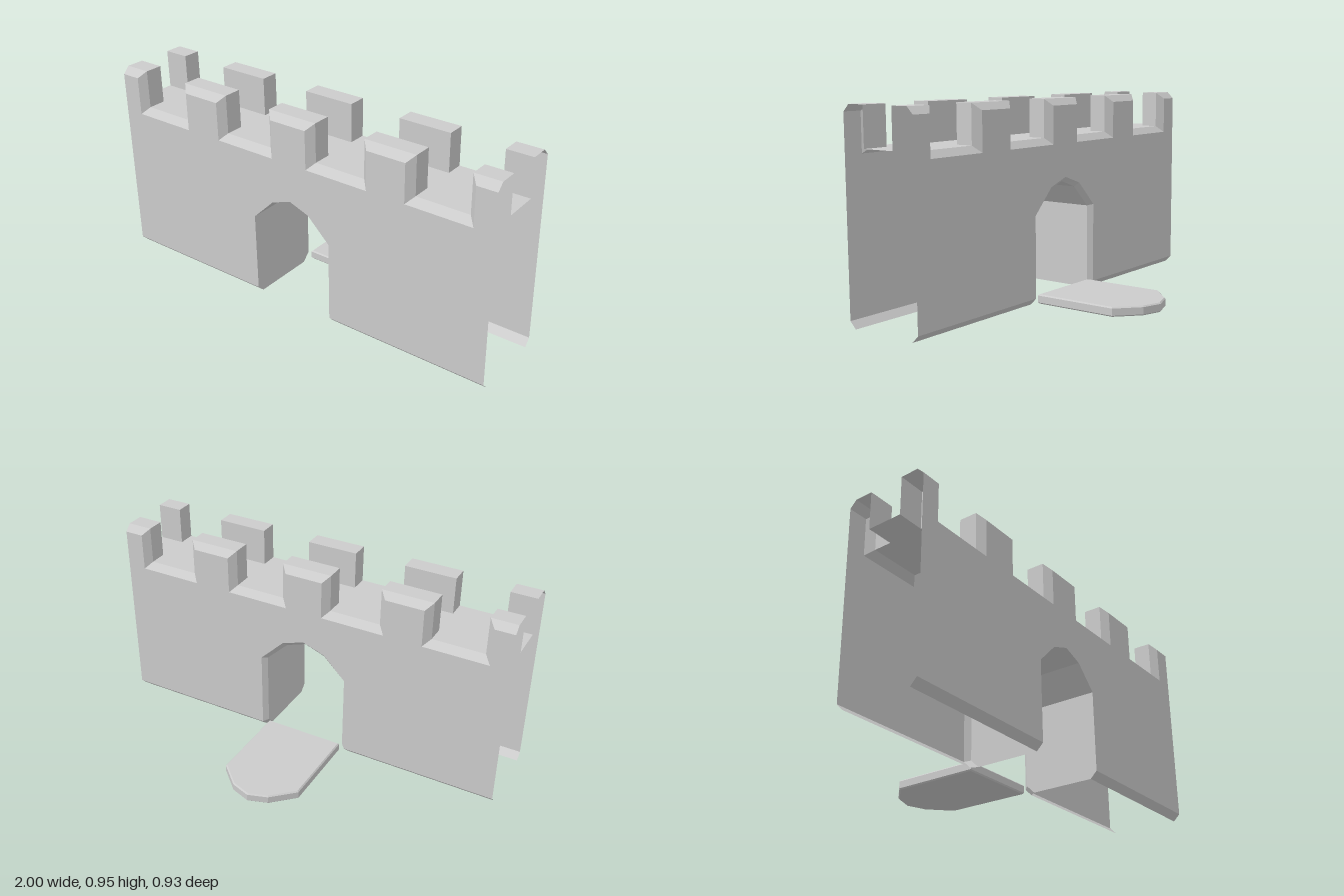
import * as THREE from 'three';

const material = new THREE.MeshStandardMaterial({ color: 0xcccccc, flatShading: true, side: THREE.DoubleSide });
const FRONT = 0.467, BEVEL = 0.032, MERLON_DEPTH = 0.117;
const back = (z) => 0.534 - z; // mirrors a depth to the rear wall

function add(group, name, geometry) {
  const mesh = new THREE.Mesh(geometry, material);
  mesh.name = name;
  group.add(mesh);
  return mesh;
}

// Strip of quads between two matching lines of [x, y, z] points
function ribbon(a, b) {
  const pos = [];
  for (let i = 0; i < a.length - 1; i++) {
    pos.push(...a[i], ...a[i + 1], ...b[i + 1], ...a[i], ...b[i + 1], ...b[i]);
  }
  const geo = new THREE.BufferGeometry();
  geo.setAttribute('position', new THREE.Float32BufferAttribute(pos, 3));
  geo.computeVertexNormals();
  return geo;
}

const atDepth = (points, z) => points.map(([x, y]) => [x, y, z]);

// Battlement outline from left to right, optionally inset for the bevel
function battlement(inset) {
  const h = 0.125 - inset, top = 0.953 - inset, low = 0.772 - inset, pts = [];
  for (const c of [-1, -0.5, 0, 0.5, 1]) {
    if (c > -1) pts.push([c - h, low], [c - h, top]);
    else pts.push([-1, top]);
    if (c < 1) pts.push([c + h, top], [c + h, low]);
    else pts.push([1, top]);
  }
  return pts;
}

// Pointed gate outline, grown by g
function arch(g) {
  const left = [[-0.21 - g, 0.415 + g * 0.3], [-0.1 - g * 0.5, 0.522 + g * 0.9]];
  return [...left, [0, 0.558 + g], ...left.map(([x, y]) => [-x, y]).reverse()];
}

// Gate ring in space, with its feet following the bottom bevel
function gateRing(g, z, footZ, footY) {
  const w = 0.21 + g;
  return [[-w, 0, footZ], [-w, footY, z], ...atDepth(arch(g), z), [w, footY, z], [w, 0, footZ]];
}

// Flat wall face with battlement and gate cut out
function wallFace(g) {
  const w = 0.21 + g;
  const pts = [[-1, BEVEL], [-w, BEVEL], ...arch(g), [w, BEVEL], [1, BEVEL], ...battlement(BEVEL).reverse()];
  return new THREE.ShapeGeometry(new THREE.Shape(pts.map(([x, y]) => new THREE.Vector2(x, y))));
}

export function createModel() {
  const model = new THREE.Group();
  model.name = 'castleGate';

  // Front and rear wall faces; the rear gate opening is wider for its chamfer
  add(model, 'frontWall', wallFace(0).translate(0, 0, FRONT));
  add(model, 'rearWall', wallFace(0.022).rotateY(Math.PI).translate(0, 0, back(FRONT)));

  for (const rear of [false, true]) {
    const side = rear ? 'rear' : 'front';
    const depth = (z) => (rear ? back(z) : z);
    const strip = (a, b) => (rear ? ribbon(b, a) : ribbon(a, b));
    const ridge = battlement(0);
    const ridgeZ = FRONT - BEVEL, innerZ = FRONT - MERLON_DEPTH;

    // Bevel, then merlon tops, flanks and the walkway between them
    add(model, side + 'BattlementBevel',
      strip(atDepth(battlement(BEVEL), depth(FRONT)), atDepth(ridge, depth(ridgeZ))));
    add(model, side + 'Battlement',
      strip(atDepth(ridge, depth(ridgeZ)), atDepth(ridge, depth(innerZ))));

    // Merlon faces towards the walkway
    for (const c of [-1, -0.5, 0, 0.5, 1]) {
      const x0 = Math.max(c - 0.125, -1), x1 = Math.min(c + 0.125, 1), z = depth(innerZ);
      add(model, side + 'MerlonInside',
        strip([[x0, 0.953, z], [x1, 0.953, z]], [[x0, 0.772, z], [x1, 0.772, z]]));
    }

    // Bevel along the foot of the wall on both sides of the gate
    const w = rear ? 0.232 : 0.21;
    for (const [x0, x1] of [[-1, -w], [w, 1]]) {
      add(model, side + 'FootBevel', strip(
        [[x0, 0, depth(ridgeZ)], [x1, 0, depth(ridgeZ)]],
        [[x0, BEVEL, depth(FRONT)], [x1, BEVEL, depth(FRONT)]]));
    }
  }

  // Middle of the walkway
  const zf = FRONT - MERLON_DEPTH, zb = back(zf);
  add(model, 'walkway', ribbon([[-1, 0.772, zf], [1, 0.772, zf]], [[-1, 0.772, zb], [1, 0.772, zb]]));

  // Gate passage with a chamfered rear edge
  const passageRear = gateRing(0, 0.09, 0.13, 0.04);
  add(model, 'gatePassage', ribbon(passageRear, gateRing(0, FRONT, FRONT - BEVEL, BEVEL)));
  add(model, 'gateChamfer',
    ribbon(gateRing(0.022, back(FRONT), back(FRONT - BEVEL), BEVEL), passageRear));

  // Lowered drawbridge lying behind the gate
  const plan = [[-0.2, -0.08], [0.2, -0.08], [0.2, 0.335], [0.095, 0.435], [0, 0.467], [-0.095, 0.435], [-0.2, 0.335]];
  const b = 0.006;
  const bridge = new THREE.ExtrudeGeometry(new THREE.Shape(plan.map(([x, y]) => new THREE.Vector2(x, y))), {
    depth: 0.045 - 2 * b, bevelEnabled: true, bevelThickness: b, bevelSize: b, bevelOffset: -b, bevelSegments: 1,
  });
  add(model, 'drawbridge', bridge.rotateX(-Math.PI / 2).translate(0, b, 0));

  return model;
}
